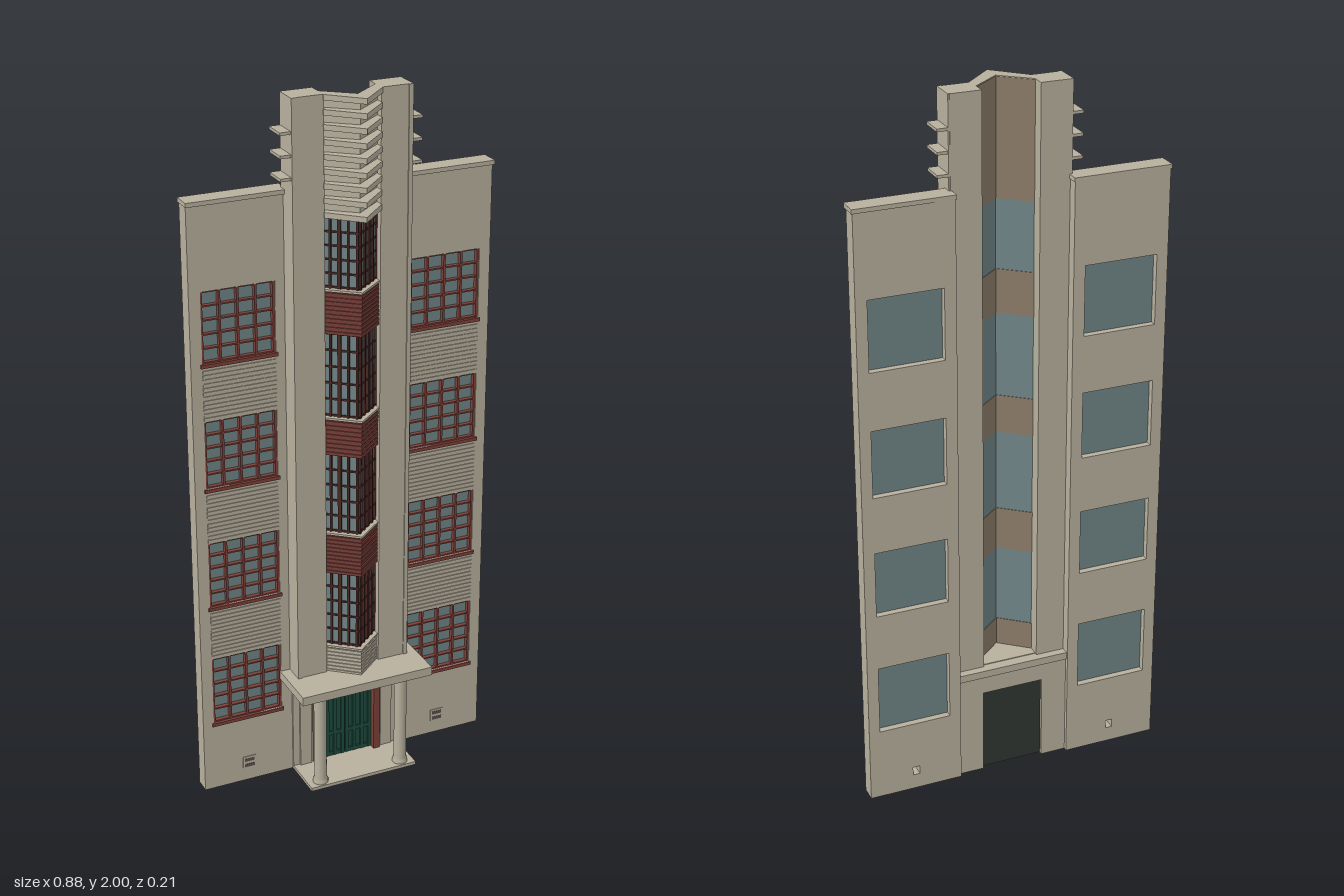
import * as THREE from 'three';

const mat = (name, color, side = THREE.FrontSide) => {
  const m = new THREE.MeshStandardMaterial({ color, side });
  m.name = name;
  return m;
};

export function createModel() {
  const M = {
    stone: mat('stone', 0xb8b09e),
    inner: mat('inner plaster', 0x8a7b68),
    brick: mat('red brick', 0x743c36),
    frame: mat('window red', 0x7d4039),
    dark: mat('dark bay frame', 0x472723),
    glass: mat('glass', 0x6f8486),
    door: mat('door green', 0x1d4a3c),
    back: mat('door back', 0x2f3631),
    sign: mat('sign green', 0x3f8a66),
    vent: mat('vent shadow', 0x55504a),
  };
  const model = new THREE.Group();
  model.name = 'building';

  const add = (name, geo, m, parent = model) => {
    const mesh = new THREE.Mesh(geo, m);
    mesh.name = name;
    parent.add(mesh);
    return mesh;
  };
  // Box given by its limits
  const box = (name, m, x0, x1, y0, y1, z0, z1, parent = model) => {
    const b = add(name, new THREE.BoxGeometry(x1 - x0, y1 - y0, z1 - z0), m, parent);
    b.position.set((x0 + x1) / 2, (y0 + y1) / 2, (z0 + z1) / 2);
    return b;
  };
  // V-shaped slab: front and back apex in z, each falling back by its drop at the ends
  const W = 0.082;
  const vSlab = (name, m, y0, y1, front, back, dropF = 0.068, dropB = 0.068, parent = model) => {
    const s = new THREE.Shape();
    s.moveTo(0, -front);
    s.lineTo(W, dropF - front);
    s.lineTo(W, dropB - back);
    s.lineTo(0, -back);
    s.lineTo(-W, dropB - back);
    s.lineTo(-W, dropF - front);
    const g = new THREE.ExtrudeGeometry(s, { depth: y1 - y0, bevelEnabled: false });
    g.rotateX(-Math.PI / 2).translate(0, y0, 0);
    return add(name, g, m, parent);
  };
  const rectPath = (x0, x1, y0, y1) => {
    const p = new THREE.Path();
    p.moveTo(x0, y0);
    p.lineTo(x0, y1);
    p.lineTo(x1, y1);
    p.lineTo(x1, y0);
    return p;
  };

  // Side wings with windows
  const windows = [[0.215, 0.42], [0.585, 0.78], [0.945, 1.14], [1.305, 1.505]];
  const wx0 = 0.197, wx1 = 0.405;
  for (const side of [1, -1]) {
    const wing = new THREE.Group();
    wing.name = side > 0 ? 'leftWing' : 'rightWing';
    model.add(wing);
    const X = (a, b) => (side > 0 ? [a, b] : [-b, -a]);
    const wbox = (name, m, a, b, ...r) => box(name, m, ...X(a, b), ...r, wing);

    const [a, b] = X(0.164, 0.437);
    const wall = new THREE.Shape([[a, 0], [b, 0], [b, 1.74], [a, 1.74]].map(p => new THREE.Vector2(...p)));
    for (const [y0, y1] of windows) wall.holes.push(rectPath(...X(wx0, wx1), y0, y1));
    wall.holes.push(rectPath(...X(0.29, 0.31), 0.045, 0.07));
    const g = new THREE.ExtrudeGeometry(wall, { depth: 0.046, bevelEnabled: false });
    add('wingWall', g.translate(0, 0, -0.103), M.stone, wing);
    wbox('coping', M.stone, 0.162, 0.44, 1.738, 1.75, -0.106, -0.048);

    for (const [y0, y1] of windows) {
      wbox('windowGlass', M.glass, wx0, wx1, y0, y1, -0.084, -0.074);
      for (let i = 0; i <= 4; i++) {
        const x = wx0 + 0.003 + (wx1 - wx0 - 0.006) * i / 4;
        wbox('windowMullion', M.frame, x - 0.003, x + 0.003, y0, y1, -0.076, -0.06);
      }
      for (let i = 0; i <= 5; i++) {
        const y = y0 + 0.002 + (y1 - y0 - 0.004) * i / 5;
        wbox('windowBar', M.frame, wx0, wx1, y - 0.002, y + 0.002, -0.076, -0.061);
      }
      wbox('windowSill', M.frame, wx0 - 0.005, wx1 + 0.005, y0 - 0.01, y0, -0.075, -0.052);
    }
    // Ribbed panels between the windows
    for (let k = 0; k < 3; k++) {
      const lo = windows[k][1] + 0.005, hi = windows[k + 1][0] - 0.014, n = 12;
      for (let i = 0; i < n; i++) {
        const y = lo + (hi - lo) * i / n;
        wbox('panelRib', M.stone, wx0, wx1, y, y + (hi - lo) / n * 0.65, -0.06, -0.0545);
      }
    }
    // Air vent
    wbox('ventFrame', M.stone, 0.28, 0.32, 0.036, 0.078, -0.06, -0.055);
    for (const y of [0.044, 0.062]) wbox('ventSlot', M.vent, 0.285, 0.315, y, y + 0.01, -0.058, -0.0545);

    // Pylon with side fins
    wbox('pylon', M.stone, 0.08, 0.166, 0.325, 2, -0.073, 0);
    wbox('pylonRib', M.stone, 0.158, 0.17, 0.325, 2, -0.072, 0.003);
    for (const y of [1.79, 1.85, 1.91]) wbox('pylonFin', M.stone, 0.165, 0.2, y - 0.004, y + 0.004, -0.071, -0.003);

    // Porch column
    const prof = [[0.022, 0.01], [0.022, 0.02], [0.018, 0.026], [0.018, 0.28], [0.022, 0.286], [0.022, 0.308]];
    const col = add('porchColumn', new THREE.LatheGeometry(prof.map(p => new THREE.Vector2(...p)), 20), M.stone, wing);
    col.position.set(side * 0.126, 0, 0.052);
    wbox('porchPilaster', M.stone, 0.11, 0.145, 0, 0.306, -0.06, -0.045);
  }

  // Central bay: glazed storeys
  const glazed = [[0.415, 0.645], [0.77, 1.005], [1.115, 1.355], [1.48, 1.675]];
  const angle = Math.atan2(0.068, W);
  for (const [y0, y1] of glazed) {
    const bay = new THREE.Group();
    bay.name = 'bayWindow';
    model.add(bay);
    vSlab('bayGlass', M.glass, y0, y1, 0.037, 0.03, 0.068, 0.068, bay);
    for (let i = 0; i <= 5; i++) {
      const y = y0 + 0.003 + (y1 - y0 - 0.006) * i / 5;
      vSlab('bayBar', M.dark, y - 0.0025, y + 0.0025, 0.042, 0.036, 0.068, 0.068, bay);
    }
    for (const s of [1, -1]) {
      for (const t of [0.04, 0.27, 0.5, 0.73, 0.96]) {
        const g = new THREE.BoxGeometry(t === 0.5 ? 0.01 : 0.006, y1 - y0, 0.01);
        const m = add('bayMullion', g, M.dark, bay);
        m.position.set(s * t * W, (y0 + y1) / 2, 0.039 - 0.068 * t);
        m.rotation.y = s * angle;
      }
    }
  }

  // Coursed bands between the glazing, with plaster behind
  const bands = [[0.33, 0.415, M.stone], [0.645, 0.77, M.brick], [1.005, 1.115, M.brick], [1.355, 1.48, M.brick]];
  for (const [y0, y1, m] of bands) {
    vSlab('bandLining', M.inner, y0, y1, 0.034, 0.028);
    vSlab('bandCore', m, y0, y1 - 0.006, 0.054, 0.033);
    const n = Math.round((y1 - y0) / 0.013), h = (y1 - y0 - 0.006) / n;
    for (let i = 0; i < n; i++) {
      vSlab('bandCourse', m, y0 + i * h, y0 + (i + 0.7) * h, 0.058, 0.05);
    }
    vSlab('bandSill', M.stone, y1 - 0.006, y1, 0.06, 0.03);
  }

  // Louvred crown
  vSlab('crownLining', M.inner, 1.675, 1.998, 0.034, 0.028);
  vSlab('crownWall', M.stone, 1.675, 1.998, 0.044, 0.033);
  for (let i = 0; i < 9; i++) {
    const y = 1.677 + i * 0.0385;
    vSlab('crownLouvre', M.stone, y, y + 0.015, 0.085, 0.03, 0.082, 0.068);
  }

  // Entrance wall, canopy and step
  const entry = new THREE.Shape([[-0.165, 0], [-0.09, 0], [-0.09, 0.255], [0.09, 0.255], [0.09, 0],
    [0.165, 0], [0.165, 0.31], [-0.165, 0.31]].map(p => new THREE.Vector2(...p)));
  const eg = new THREE.ExtrudeGeometry(entry, { depth: 0.04, bevelEnabled: false });
  add('entranceWall', eg.translate(0, 0, -0.091), M.stone);
  box('entranceCap', M.stone, -0.164, 0.164, 0.308, 0.33, -0.096, -0.05);
  box('canopy', M.stone, -0.2, 0.2, 0.306, 0.332, -0.065, 0.103);
  box('step', M.stone, -0.165, 0.165, 0, 0.01, -0.08, 0.078);

  // Double door with red surround
  box('doorBack', M.back, -0.09, 0.09, 0.002, 0.255, -0.082, -0.074);
  box('doorLintel', M.frame, -0.106, 0.106, 0.252, 0.286, -0.055, -0.033);
  box('doorCornice', M.frame, -0.11, 0.11, 0.28, 0.29, -0.055, -0.029);
  box('doorSign', M.sign, -0.02, 0.02, 0.261, 0.275, -0.034, -0.031);
  for (const s of [1, -1]) {
    box('doorJamb', M.frame, s * 0.094 - 0.01, s * 0.094 + 0.01, 0.01, 0.255, -0.075, -0.036);
    box('doorLeaf', M.door, s * 0.043 - 0.042, s * 0.043 + 0.042, 0.01, 0.253, -0.075, -0.06);
    for (const x of [0.007, 0.031, 0.055, 0.079]) {
      box('doorStile', M.door, s * x - 0.005, s * x + 0.005, 0.01, 0.253, -0.062, -0.054);
    }
    for (const y of [0.016, 0.085, 0.246]) {
      box('doorRail', M.door, s * 0.043 - 0.042, s * 0.043 + 0.042, y - 0.006, y + 0.006, -0.062, -0.055);
    }
  }
  return model;
}
